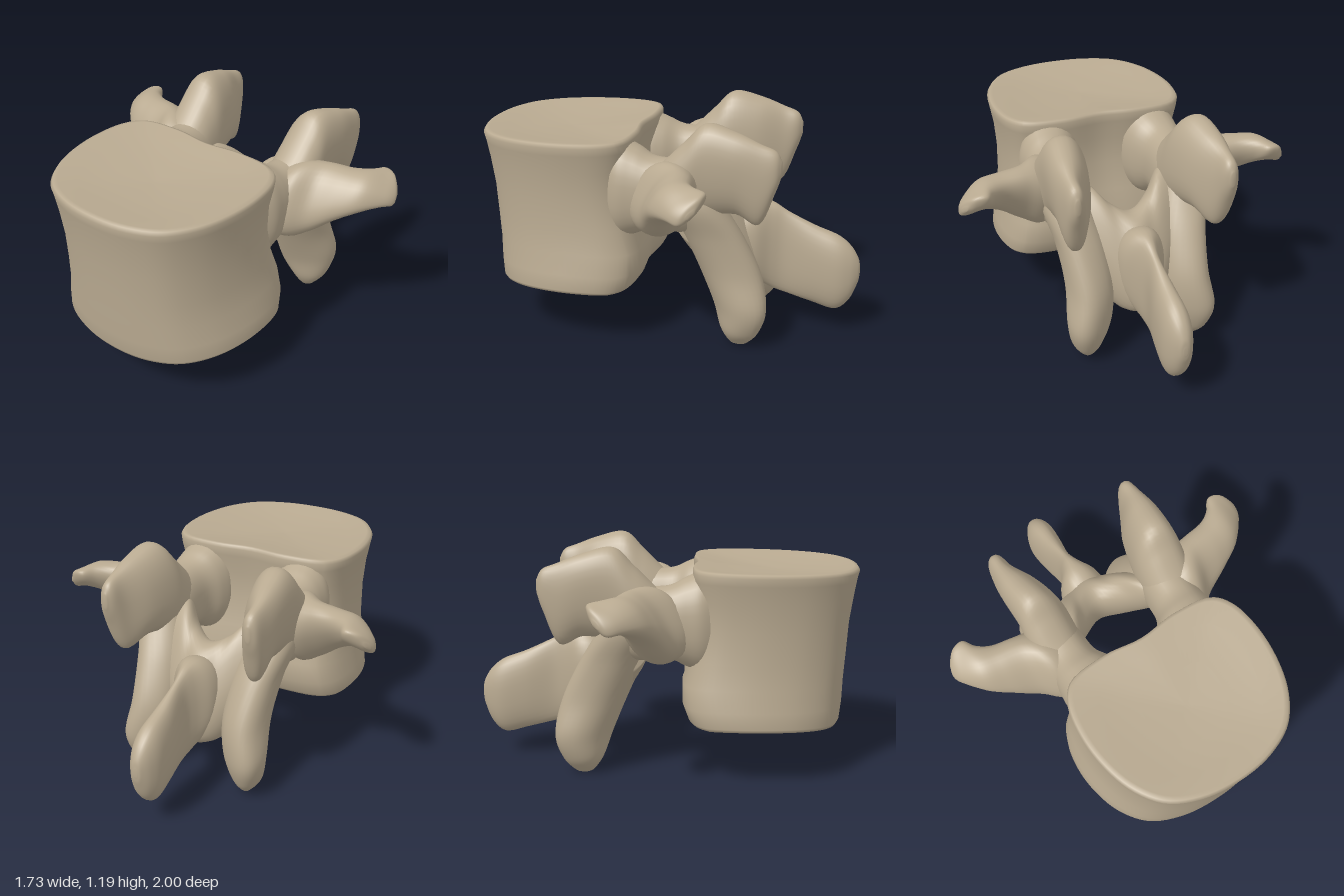
import * as THREE from 'three';

const bone = new THREE.MeshStandardMaterial({ color: 0xb9aa91 });
bone.name = 'bone';

// Skins a list of closed rings into a smooth solid with closed ends.
function skin(rings) {
  const n = rings[0].length, pos = [], idx = [];
  rings.forEach((r) => r.forEach((p) => pos.push(p.x, p.y, p.z)));
  for (let i = 0; i < rings.length - 1; i++) {
    for (let j = 0; j < n; j++) {
      const a = i * n + j, b = i * n + (j + 1) % n;
      idx.push(a, b, a + n, b, b + n, a + n);
    }
  }
  [0, rings.length - 1].forEach((k) => {
    const c = new THREE.Vector3();
    rings[k].forEach((p) => c.addScaledVector(p, 1 / n));
    const m = pos.length / 3;
    pos.push(c.x, c.y, c.z);
    for (let j = 0; j < n; j++) {
      const a = k * n + j, b = k * n + (j + 1) % n;
      if (k === 0) idx.push(m, b, a);
      else idx.push(m, a, b);
    }
  });
  // Turn the faces outward if the enclosed volume comes out negative.
  const at = (i) => new THREE.Vector3().fromArray(pos, i * 3);
  let volume = 0;
  for (let i = 0; i < idx.length; i += 3) {
    volume += at(idx[i]).dot(at(idx[i + 1]).cross(at(idx[i + 2])));
  }
  if (volume < 0) idx.reverse();
  const g = new THREE.BufferGeometry();
  g.setAttribute('position', new THREE.Float32BufferAttribute(pos, 3));
  g.setIndex(idx);
  g.computeVertexNormals();
  return g;
}

// Limb through oval sections: [centre, half axis u, half axis v]; side mirrors x.
function limb(name, sections, side = 1) {
  const curve = (k) => new THREE.CatmullRomCurve3(
    sections.map((s) => new THREE.Vector3(...s[k])), false, 'catmullrom', 0.5);
  const [centre, u, v] = [curve(0), curve(1), curve(2)];
  const full = (w) => Math.sign(w) * Math.abs(w) ** 0.88;
  const steps = (sections.length - 1) * 6, rings = [];
  for (let i = 0; i <= steps; i++) {
    const t = i / steps, c = centre.getPoint(t), a = u.getPoint(t), b = v.getPoint(t), ring = [];
    for (let j = 0; j < 32; j++) {
      const q = (j / 32) * Math.PI * 2;
      const p = c.clone().addScaledVector(a, full(Math.cos(q))).addScaledVector(b, full(Math.sin(q)));
      p.x *= side;
      ring.push(p);
    }
    rings.push(ring);
  }
  const mesh = new THREE.Mesh(skin(rings), bone);
  mesh.name = name;
  return mesh;
}

// Drum-shaped body: rounded outline, pinched waist, rounded rims, dished ends.
function body() {
  const half = [[0.39, 0.97], [0.7, 0.875], [0.89, 0.71], [0.98, 0.52], [1, 0.33], [0.95, 0.15], [0.82, 0.04], [0.4, 0]];
  const outline = [[0, 1], ...half, [0, 0.025], ...half.slice().reverse().map(([x, z]) => [-x, z])];
  const points = new THREE.CatmullRomCurve3(
    outline.map(([x, z]) => new THREE.Vector3(x, 0, z)), true).getPoints(90).slice(0, 90);
  // Each level: height, half width, front z, back z, inset toward the centre.
  const levels = [
    [0.315, 0.53, 0.91, 0.14, 0.05], [0.308, 0.53, 0.91, 0.14, 0.4], [0.28, 0.53, 0.91, 0.14, 0.75],
    [0.252, 0.53, 0.91, 0.14, 0.94], [0.25, 0.535, 0.915, 0.13, 0.985], [0.27, 0.54, 0.92, 0.12, 1],
    [0.36, 0.53, 0.93, 0.09, 1], [0.48, 0.505, 0.935, 0.09, 1], [0.62, 0.485, 0.945, 0.13, 1],
    [0.78, 0.478, 0.955, 0.16, 1], [0.92, 0.487, 0.975, 0.16, 1], [1.01, 0.505, 0.99, 0.14, 1],
    [1.05, 0.512, 1, 0.14, 1], [1.067, 0.51, 0.995, 0.14, 0.985], [1.071, 0.505, 0.99, 0.14, 0.95],
    [1.055, 0.505, 0.99, 0.14, 0.75], [1.042, 0.505, 0.99, 0.14, 0.4], [1.038, 0.505, 0.99, 0.14, 0.05],
  ];
  const rings = levels.map(([y, w, front, back, inset]) => points.map((p) => {
    const mid = (front + back) / 2;
    const z = mid + (back + (front - back) * p.z - mid) * inset;
    // The lower rim rises toward the sides and back.
    const rise = 0.05 * Math.max(p.x * p.x, 1 - p.z) * inset * Math.max(0, 1 - Math.max(0, y - 0.25) / 0.35);
    const lip = y > 1 ? 0.012 * (1 - p.z) * inset : 0;
    return new THREE.Vector3(p.x * w * inset, y + rise + lip, z);
  }));
  const mesh = new THREE.Mesh(skin(rings), bone);
  mesh.name = 'vertebralBody';
  return mesh;
}

// Short pillar flaring into the body and joining it to the arch.
const pedicle = [
  [[0.28, 0.81, 0.27], [0, 0.25, 0], [0.13, 0, 0]],
  [[0.285, 0.81, 0.19], [0, 0.255, 0], [0.165, 0, 0]],
  [[0.295, 0.81, 0.11], [0, 0.225, 0], [0.155, 0, 0]],
  [[0.315, 0.81, 0.02], [0, 0.185, 0], [0.13, 0, 0]],
  [[0.32, 0.8, -0.14], [0, 0.18, 0], [0.12, 0, 0]],
  [[0.31, 0.8, -0.24], [0, 0.1, 0], [0.06, 0, 0]],
];

// Flattened wing reaching sideways and back.
const transverse = [
  [[0.27, 0.81, -0.03], [0, 0.12, -0.05], [0, 0.03, 0.08]],
  [[0.41, 0.81, -0.045], [0, 0.18, -0.09], [0, 0.06, 0.14]],
  [[0.52, 0.835, -0.09], [0, 0.16, -0.09], [0, 0.04, 0.095]],
  [[0.63, 0.875, -0.125], [0, 0.12, -0.07], [0.01, 0.02, 0.085]],
  [[0.72, 0.905, -0.175], [0, 0.092, -0.045], [0.03, 0, 0.09]],
  [[0.785, 0.915, -0.25], [0, 0.06, -0.02], [0.05, -0.03, 0.08]],
  [[0.828, 0.905, -0.277], [0, 0.045, -0.01], [0.036, -0.035, 0.05]],
  [[0.845, 0.9, -0.287], [0, 0.012, 0], [0.01, -0.01, 0.015]],
];

// Upright plate rising above the arch, leaning outward.
const superior = [
  [[0.33, 0.81, 0.03], [0, 0.12, 0], [0.09, 0, 0]],
  [[0.335, 0.82, -0.05], [0.01, 0.18, 0], [0.125, 0, 0]],
  [[0.335, 0.88, -0.15], [0.015, 0.22, 0], [0.13, 0, 0]],
  [[0.335, 0.95, -0.25], [0.02, 0.24, 0], [0.12, 0, 0]],
  [[0.355, 0.95, -0.4], [0.02, 0.21, 0], [0.1, 0, 0]],
  [[0.38, 0.91, -0.52], [0.01, 0.205, 0], [0.065, 0, 0]],
  [[0.39, 0.98, -0.595], [0, 0.105, 0], [0.042, 0, 0]],
  [[0.39, 1.0, -0.625], [0, 0.035, 0], [0.012, 0, 0]],
];

// Leaf-shaped prong hanging below the arch.
const inferior = [
  [[0.33, 0.92, -0.17], [0.06, 0, -0.01], [0, 0, 0.07]],
  [[0.315, 0.78, -0.19], [0.12, 0, -0.02], [0.01, 0, 0.13]],
  [[0.27, 0.6, -0.27], [0.125, 0, -0.05], [0.02, 0, 0.15]],
  [[0.255, 0.4, -0.36], [0.12, 0, -0.07], [0.03, 0, 0.145]],
  [[0.272, 0.22, -0.415], [0.122, 0, -0.075], [0.025, 0, 0.12]],
  [[0.288, 0.09, -0.42], [0.08, 0, -0.045], [0.02, 0, 0.09]],
  [[0.285, 0.02, -0.415], [0.035, 0, -0.01], [0, 0, 0.05]],
  [[0.285, 0.003, -0.415], [0.01, 0, 0], [0, 0, 0.015]],
];

// Deep sloping roof of the canal, from one side to the other.
const laminaHalf = [
  [[0.32, 0.7, -0.15], [0, 0.15, 0.07], [0, -0.02, 0.09]],
  [[0.21, 0.62, -0.23], [0, 0.24, 0.11], [0.04, -0.03, 0.13]],
  [[0.11, 0.51, -0.315], [0, 0.26, 0.1], [0.03, -0.03, 0.13]],
];
const flip = ([c, u, v]) => [[-c[0], c[1], c[2]], u, [-v[0], v[1], v[2]]];
const lamina = [
  ...laminaHalf,
  [[0, 0.48, -0.37], [0, 0.25, 0.08], [0, -0.02, 0.13]],
  ...laminaHalf.slice().reverse().map(flip),
];

// Blade pointing backward, thickened at its free end.
const spinous = [
  [[0, 0.54, -0.3], [0, 0.1, 0], [0.06, 0, 0]],
  [[0, 0.5, -0.38], [0, 0.19, 0], [0.12, 0, 0]],
  [[0, 0.485, -0.46], [0, 0.225, 0], [0.115, 0, 0]],
  [[0, 0.455, -0.54], [0, 0.24, 0], [0.065, 0, 0]],
  [[0, 0.42, -0.62], [0, 0.23, 0], [0.045, 0, 0]],
  [[0, 0.37, -0.76], [0, 0.215, 0], [0.068, 0, 0]],
  [[0, 0.335, -0.88], [0, 0.205, 0], [0.078, 0, 0]],
  [[0, 0.335, -0.95], [0, 0.15, 0], [0.06, 0, 0]],
  [[0, 0.35, -0.99], [0, 0.07, 0], [0.03, 0, 0]],
  [[0, 0.35, -1], [0, 0.02, 0], [0.01, 0, 0]],
];

export function createModel() {
  const model = new THREE.Group();
  model.name = 'vertebra';
  model.add(body(), limb('lamina', lamina), limb('spinousProcess', spinous));
  [['left', 1], ['right', -1]].forEach(([label, side]) => {
    model.add(
      limb(label + 'Pedicle', pedicle, side),
      limb(label + 'TransverseProcess', transverse, side),
      limb(label + 'SuperiorProcess', superior, side),
      limb(label + 'InferiorProcess', inferior, side));
  });
  return model;
}
